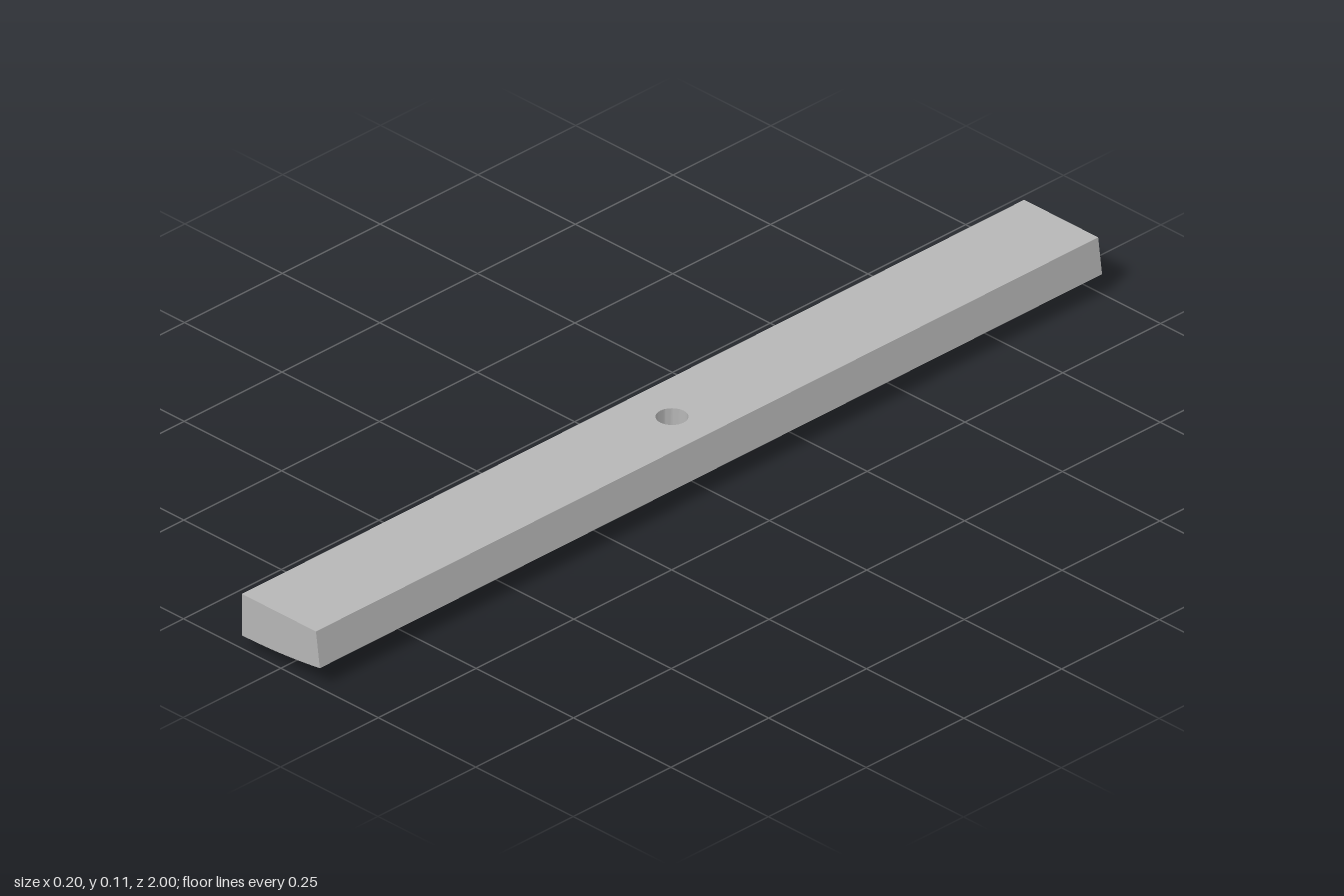
import * as THREE from 'three';
import { toCreasedNormals } from 'three/addons/utils/BufferGeometryUtils.js';

const TOP = 0.115, HOLE = 0.03;
// gently curved underside, rising towards +x
const under = (x) => 0.028 + 0.35 * (x + 0.1) ** 2;

// Bar lofted as rings: hole edge, underside, sides, top, and back down the hole
function barGeometry() {
  const n = 64, rows = 8, rings = [];
  const ring = (s, right, y) => {
    const pts = [];
    for (let i = 0; i < n; i++) {
      const t = (i / n) * Math.PI * 2, c = Math.cos(t), d = Math.sin(t);
      const m = Math.max(Math.abs(c), Math.abs(d));
      const mid = (right - 0.1) / 2, half = (right + 0.1) / 2;
      const x = THREE.MathUtils.lerp(c * HOLE, mid + (c / m) * half, s);
      const z = THREE.MathUtils.lerp(d * HOLE, d / m, s);
      pts.push([x, y ?? under(x), z]);
    }
    rings.push(pts);
  };
  for (let j = 0; j <= rows; j++) ring(j / rows, 0.1);
  ring(1, 0.09, TOP);
  ring(0, 0.09, TOP);
  ring(0, 0.1);
  const pos = [];
  for (let r = 0; r < rings.length - 1; r++) {
    for (let i = 0; i < n; i++) {
      const k = (i + 1) % n;
      const a = rings[r][i], b = rings[r][k], c = rings[r + 1][i], d = rings[r + 1][k];
      pos.push(...a, ...c, ...b, ...b, ...c, ...d);
    }
  }
  const g = new THREE.BufferGeometry();
  g.setAttribute('position', new THREE.Float32BufferAttribute(pos, 3));
  return toCreasedNormals(g, 0.4);
}

// Raised piece following the underside, from a plan shape in (x, z)
function raised(shape) {
  const g = new THREE.ExtrudeGeometry(shape, { depth: 0.03, bevelEnabled: false, curveSegments: 16 });
  g.rotateX(Math.PI / 2);
  const p = g.attributes.position;
  for (let i = 0; i < p.count; i++) {
    p.setY(i, under(p.getX(i)) + (p.getY(i) < -0.01 ? -0.0275 : 0.004));
  }
  return toCreasedNormals(g, 0.6);
}

function rect(x0, x1, z0, z1) {
  return new THREE.Shape([[x0, z0], [x1, z0], [x1, z1], [x0, z1]].map((q) => new THREE.Vector2(...q)));
}

function arc(cx, cz, outer, inner, from, to) {
  const s = new THREE.Shape();
  s.absarc(cx, cz, outer, from, to, false);
  s.absarc(cx, cz, inner, to, from, true);
  s.closePath();
  return s;
}

function ringShape(cx, cz, outer, inner) {
  const s = new THREE.Shape();
  s.absarc(cx, cz, outer, 0, Math.PI * 2, false);
  const h = new THREE.Path();
  h.absarc(cx, cz, inner, 0, Math.PI * 2, true);
  s.holes.push(h);
  return s;
}

export function createModel() {
  const group = new THREE.Group();
  const grey = new THREE.MeshStandardMaterial({ color: 0xb6b6b6 });
  grey.name = 'grey';
  const add = (name, geometry) => {
    const mesh = new THREE.Mesh(geometry, grey);
    mesh.name = name;
    group.add(mesh);
  };

  add('bar', barGeometry());

  // straight ribs: x range, z range
  [
    [-0.095, -0.077, -0.40, -0.34],
    [-0.082, -0.062, -0.20, -0.14],
    [-0.095, -0.077, 0.09, 0.19],
    [-0.028, -0.010, 0.31, 0.44],
    [-0.097, -0.080, -0.69, -0.61],
  ].forEach((r) => add('rib', raised(rect(...r))));

  // small pins: x, z
  [[0, -0.943], [-0.07, 0.06], [-0.05, 0.928], [-0.073, 0.926], [-0.052, 0.343], [-0.035, -0.625]]
    .forEach(([x, z]) => add('pin', raised(rect(x - 0.01, x + 0.01, z - 0.011, z + 0.011))));

  // closed rings
  add('ring', raised(ringShape(-0.038, -0.115, 0.04, 0.022)));
  add('smallRing', raised(ringShape(-0.07, 0.38, 0.027, 0.011)));

  // rounded boss beside the larger ring
  const boss = new THREE.Shape();
  boss.absarc(-0.08, -0.078, 0.016, 0, Math.PI * 2, false);
  add('boss', raised(boss));

  // open hooks
  add('hook', raised(arc(-0.045, -0.625, 0.045, 0.028, -Math.PI * 0.95, Math.PI * 0.2)));
  add('smallHook', raised(arc(0.008, 0.572, 0.022, 0.006, -Math.PI * 0.6, Math.PI * 0.6)));
  add('hookTail', raised(rect(-0.032, 0.004, 0.553, 0.568)));

  return group;
}
